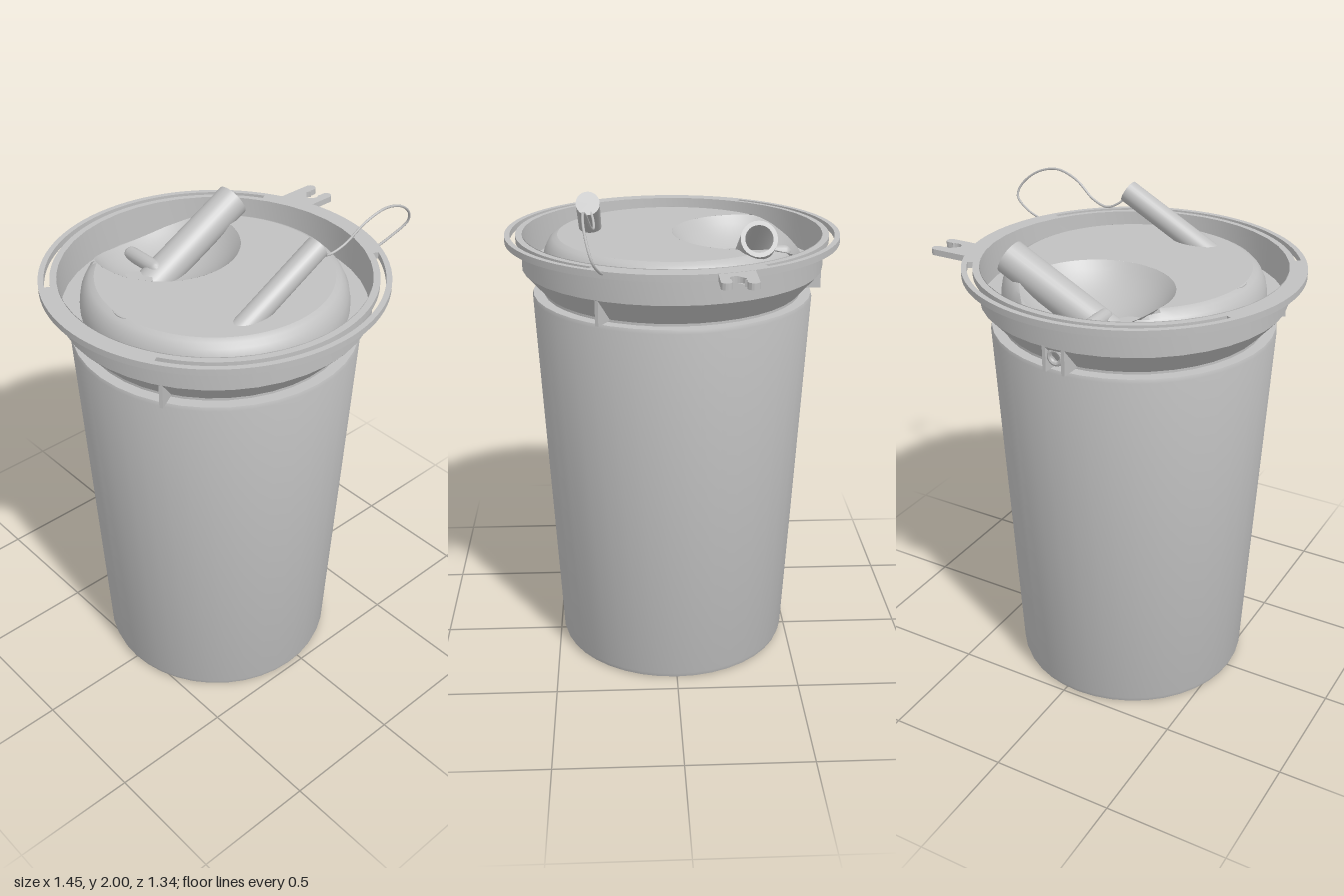
import * as THREE from 'three';
import { toCreasedNormals } from 'three/addons/utils/BufferGeometryUtils.js';

const AXIS = -0.06; // x of the vessel axis
const TOP = 1.79; // height of the raised lid
const FLOOR = 1.66; // height of the sunken lid floor
const BOWL = { z: -0.3, r: 0.3, R: 0.375, y: TOP + 0.225 };

const grey = new THREE.MeshStandardMaterial({ color: 0xc0c0c0, side: THREE.DoubleSide });
grey.name = 'grey plastic';

function add(parent, name, geo, crease = 0.6) {
  const mesh = new THREE.Mesh(crease ? toCreasedNormals(geo, crease) : geo, grey);
  mesh.name = name;
  parent.add(mesh);
  return mesh;
}

const lathe = (pts, n = 40) =>
  new THREE.LatheGeometry(pts.map(([x, y]) => new THREE.Vector2(x, y)), n);

// Extrude a plan shape (shape y = -z) upward from height y
function plate(shape, y, depth) {
  return new THREE.ExtrudeGeometry(shape, { depth, bevelEnabled: false, curveSegments: 48 })
    .rotateX(-Math.PI / 2).translate(0, y, 0);
}

// Cylinder whose upper end is at `end`, leaning up along +x by `tilt`
function leaning(geo, length, end, tilt) {
  return geo.translate(0, -length / 2, 0).rotateZ(tilt - Math.PI / 2).translate(...end);
}

// Rounded shoulder of the raised lid
const DOME = [[0.52, FLOOR], [0.52, 1.69], [0.513, 1.73], [0.497, 1.763], [0.48, 1.781], [0.46, TOP]];

function domeHeight(r) {
  for (let i = DOME.length - 1; i > 1; i--) {
    const [r1, y1] = DOME[i], [r0, y0] = DOME[i - 1];
    if (r <= r1) return y1;
    if (r <= r0) return y1 + (y0 - y1) * (r - r1) / (r0 - r1);
  }
  return FLOOR;
}

const bowlHeight = (d) => BOWL.y - Math.sqrt(Math.max(0, BOWL.R ** 2 - d * d));

// Spherical dish, trimmed where it meets the rounded shoulder
function bowlGeometry() {
  const n = 64, rings = 12, pos = [], index = [];
  for (let i = 0; i <= n; i++) {
    const a = i / n * Math.PI * 2, c = Math.cos(a), s = Math.sin(a);
    let lo = 0, hi = BOWL.r;
    for (let k = 0; k < 30; k++) {
      const t = k ? (lo + hi) / 2 : hi;
      const ok = bowlHeight(t) <= domeHeight(Math.hypot(t * c, BOWL.z + t * s)) + 1e-6;
      if (ok) lo = t; else hi = t;
    }
    for (let j = 0; j <= rings; j++) {
      const t = lo * j / rings;
      pos.push(t * c, bowlHeight(t), BOWL.z + t * s);
      if (i < n && j < rings) {
        const p = i * (rings + 1) + j, q = p + rings + 1;
        index.push(p, q, p + 1, q, q + 1, p + 1);
      }
    }
  }
  const geo = new THREE.BufferGeometry();
  geo.setAttribute('position', new THREE.Float32BufferAttribute(pos, 3));
  geo.setIndex(index);
  geo.computeVertexNormals();
  return geo;
}

function buildVessel() {
  const g = new THREE.Group();
  g.name = 'vessel';
  g.position.x = AXIS;

  // Tapered body, neck, collar and sunken floor
  add(g, 'body', lathe([[0, 0], [0.465, 0], [0.481, 0.006], [0.4875, 0.025], [0.567, 1.545],
    [0.563, 1.56], [0.52, 1.56]]));
  add(g, 'collar', lathe([[0.52, 1.555], [0.52, 1.57], [0.605, 1.665], [0.607, 1.775]]));
  add(g, 'innerWall', lathe([[0.6, 1.8], [0.595, FLOOR], [0.5, FLOOR]]));

  // Rim flange with two long slots
  const rim = new THREE.Shape().absarc(0, 0, 0.67, 0, Math.PI * 2);
  rim.holes.push(new THREE.Path().absarc(0, 0, 0.6, 0, Math.PI * 2, true));
  for (const start of [30, 210]) {
    const a = THREE.MathUtils.degToRad(start), b = a + Math.PI * 2 / 3;
    const slot = new THREE.Path();
    slot.absarc(0, 0, 0.648, a, b, false);
    slot.absarc(0, 0, 0.626, b, a, true);
    slot.closePath();
    rim.holes.push(slot);
  }
  add(g, 'rim', plate(rim, 1.772, 0.026));

  // Forked tab on the rim
  const tab = new THREE.Shape();
  tab.moveTo(0.62, 0.135);
  tab.lineTo(0.76, 0.135);
  tab.absarc(0.76, 0.155, 0.02, -Math.PI / 2, Math.PI / 2, false);
  tab.lineTo(0.74, 0.175);
  tab.absarc(0.715, 0.2, 0.03, -0.8, 0.8, true);
  tab.lineTo(0.74, 0.23);
  tab.absarc(0.76, 0.25, 0.022, -Math.PI / 2, Math.PI / 2, false);
  tab.lineTo(0.58, 0.272);
  add(g, 'forkedTab', plate(tab, 1.772, 0.025));

  // Raised lid: flat top with a round hole, shoulder and dish
  const top = new THREE.Shape();
  const zi = (0.46 ** 2 + BOWL.z ** 2 - BOWL.r ** 2) / (-2 * BOWL.z);
  const xi = Math.sqrt(0.46 ** 2 - zi * zi);
  const a = Math.atan2(zi, xi), b = Math.atan2(zi + BOWL.z, xi);
  top.absarc(0, 0, 0.46, a, Math.PI - a, true);
  top.absarc(0, -BOWL.z, BOWL.r, Math.PI - b, b, false);
  top.holes.push(new THREE.Path().absarc(-0.38, 0, 0.09, 0, Math.PI * 2));
  add(g, 'lidTop', new THREE.ShapeGeometry(top, 48).rotateX(-Math.PI / 2).translate(0, TOP, 0));
  add(g, 'lidHole', lathe([[0, 1.68], [0.09, 1.68], [0.09, TOP]], 28).translate(-0.38, 0, 0));

  const shoulder = lathe(DOME, 72), p = shoulder.attributes.position;
  for (let i = 0; i < p.count; i++) {
    const d = Math.hypot(p.getX(i), p.getZ(i) - BOWL.z);
    if (d < BOWL.r) p.setY(i, Math.min(p.getY(i), bowlHeight(d) - 0.003));
  }
  add(g, 'lidShoulder', shoulder);
  add(g, 'dish', bowlGeometry());

  // Gussets under the collar; the rear one is a pair with an eyelet
  const tri = new THREE.Shape([[0.51, 1.565], [0.602, 1.565], [0.602, 1.67]]
    .map(([x, y]) => new THREE.Vector2(x, y)));
  for (const [deg, offsets] of [[-30, [0]], [-150, [0]], [90, [-0.04, 0.04]]]) {
    const bracket = new THREE.Group();
    bracket.name = 'bracket';
    bracket.rotation.y = THREE.MathUtils.degToRad(deg);
    for (const z of offsets) {
      add(bracket, 'gusset', new THREE.ExtrudeGeometry(tri, { depth: 0.014, bevelEnabled: false })
        .translate(0, 0, z - 0.007));
    }
    if (offsets.length > 1) {
      add(bracket, 'eyelet', new THREE.TorusGeometry(0.026, 0.01, 8, 20)
        .rotateY(Math.PI / 2).translate(0.585, 1.625, 0));
    }
    g.add(bracket);
  }
  return g;
}

export function createModel() {
  const root = new THREE.Group();
  root.name = 'bucket';
  root.add(buildVessel());

  // Hollow spout rising out of the dish, with a side peg and a foot
  const tilt = 0.48, len = 0.6;
  add(root, 'spout', leaning(lathe([[0, -len / 2], [0.07, -len / 2], [0.07, len / 2],
    [0.053, len / 2], [0.053, -len / 2 + 0.1], [0, -len / 2 + 0.1]], 24), len, [0.31, 1.85, -0.31], tilt));
  add(root, 'spoutFoot', new THREE.CylinderGeometry(0.065, 0.065, 0.03, 24).translate(-0.21, 1.665, -0.3));
  add(root, 'spoutPeg', new THREE.CapsuleGeometry(0.03, 0.15, 6, 16)
    .rotateX(Math.PI / 2).translate(-0.105, 1.69, -0.385));

  // Solid plug leaning out of the lid
  add(root, 'plug', leaning(new THREE.CylinderGeometry(0.046, 0.046, 0.5, 24), 0.5, [0.15, 1.955, 0.33], 0.49));

  // Cord looping from the plug to the rim
  const cord = new THREE.CatmullRomCurve3([
    [0.155, 1.93, 0.32], [0.19, 1.9, 0.31], [0.24, 1.88, 0.308], [0.31, 1.9, 0.317], [0.4, 1.965, 0.332],
    [0.5, 1.994, 0.34], [0.6, 1.967, 0.336], [0.67, 1.905, 0.32], [0.68, 1.86, 0.305],
    [0.62, 1.815, 0.285], [0.54, 1.785, 0.275],
  ].map((v) => new THREE.Vector3(...v)));
  add(root, 'cord', new THREE.TubeGeometry(cord, 64, 0.005, 6), 0);
  return root;
}
